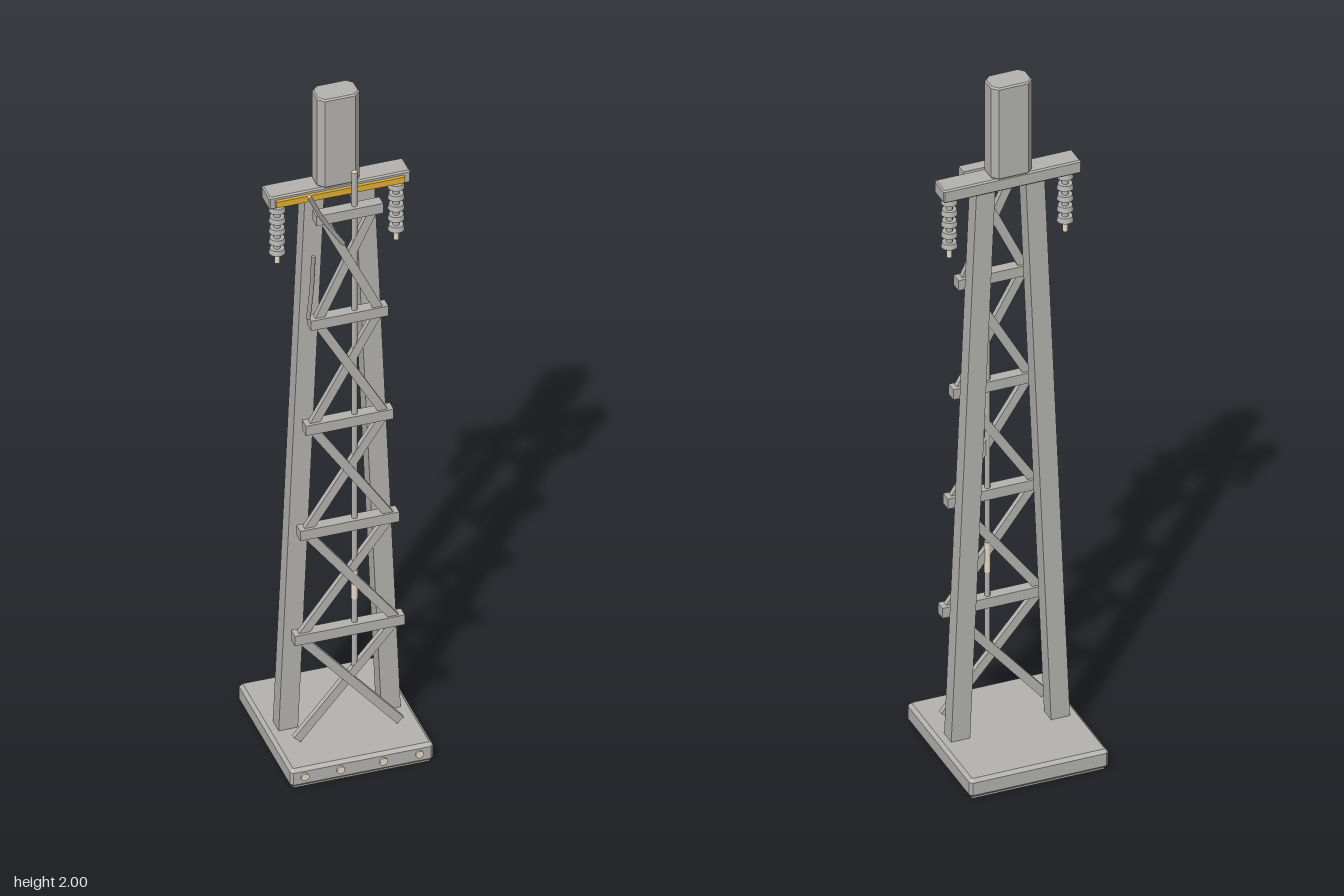
import * as THREE from 'three';

const mat = (name, color) => new THREE.MeshStandardMaterial({ name, color });

export function createModel() {
  const root = new THREE.Group();
  root.name = 'latticeTower';
  const steel = mat('steel grey', 0xb3b2af);
  const cableGrey = mat('cable grey', 0x95928c);
  const yellow = mat('warning yellow', 0xdcae38);
  const beige = mat('pale beige', 0xe8dac6);

  const add = (name, geo, material, x = 0, y = 0, z = 0, parent = root) => {
    const m = new THREE.Mesh(geo, material);
    m.name = name;
    m.position.set(x, y, z);
    parent.add(m);
    return m;
  };

  // Upright block with cut corners (plan chamfer c) and bevelled rims b
  const block = (w, h, d, c, b) => {
    const x = w / 2 - b, z = d / 2 - b;
    const s = new THREE.Shape([
      [-x + c, -z], [x - c, -z], [x, -z + c], [x, z - c],
      [x - c, z], [-x + c, z], [-x, z - c], [-x, -z + c],
    ].map(p => new THREE.Vector2(...p)));
    return new THREE.ExtrudeGeometry(s, {
      depth: h - 2 * b, bevelEnabled: true, bevelSize: b, bevelThickness: b, bevelSegments: 1,
    }).translate(0, 0, -h / 2 + b).rotateX(-Math.PI / 2);
  };

  // Bar running between two points in the front plane
  const bar = (name, a, b, width, depth, z) => {
    const dx = b[0] - a[0], dy = b[1] - a[1];
    const m = add(name, new THREE.BoxGeometry(width, Math.hypot(dx, dy), depth), steel,
      (a[0] + b[0]) / 2, (a[1] + b[1]) / 2, z);
    m.rotation.z = -Math.atan2(dx, dy);
  };

  // Foot slab with a row of bolts on the front
  add('baseSlab', block(0.384, 0.055, 0.414, 0.002, 0.009), steel, 0, 0.0325, -0.007);
  for (const x of [-0.155, -0.059, 0.056, 0.153]) {
    add('baseBolt', new THREE.CylinderGeometry(0.011, 0.011, 0.008, 10).rotateX(Math.PI / 2),
      beige, x, 0.035, 0.201);
  }
  add('baseUnderside', new THREE.BoxGeometry(0.366, 0.006, 0.396), steel, 0, 0.003, -0.007);

  // Two leaning legs, sheared so that their ends stay level
  for (const s of [-1, 1]) {
    const leg = new THREE.BoxGeometry(0.052, 1.635, 0.046);
    const p = leg.attributes.position;
    for (let i = 0; i < p.count; i++) {
      p.setX(i, p.getX(i) + s * (p.getY(i) > 0 ? 0.068 : 0.138));
    }
    leg.computeVertexNormals();
    add('leg', leg, steel, 0, 0.8775, -0.001);
  }

  // Lattice in front of the legs: rungs and crossed braces
  const levels = [0.065, 0.388, 0.712, 1.036, 1.36, 1.683];
  const rungHalf = [0.162, 0.148, 0.133, 0.118, 0.104, 0.09];
  for (let i = 0; i < 5; i++) {
    add('rung', new THREE.BoxGeometry(rungHalf[i + 1] * 2, 0.03, 0.031), steel,
      0, levels[i + 1], 0.086);
    for (const s of [-1, 1]) {
      bar('diagonalBrace', [s * (rungHalf[i] - 0.024), levels[i] + 0.008],
        [-s * (rungHalf[i + 1] - 0.024), levels[i + 1] - 0.008], 0.024, 0.015, 0.087 + s * 0.0015);
    }
  }

  // Slim centre rod with a pale end and a pale sleeve
  add('centreRod', new THREE.CylinderGeometry(0.0075, 0.0075, 1.56, 10), steel, 0.018, 1.02, 0.085);
  add('rodEnd', new THREE.CylinderGeometry(0.0075, 0.0075, 0.002, 10), beige, 0.018, 1.801, 0.085);
  add('rodSleeve', new THREE.CylinderGeometry(0.009, 0.009, 0.09, 10), beige, 0.018, 0.52, 0.085);

  // Crossarm, yellow strip and head column
  add('crossarm', block(0.38, 0.038, 0.062, 0.001, 0.004), steel, 0, 1.707, -0.007);
  add('yellowStrip', new THREE.BoxGeometry(0.346, 0.018, 0.0095), yellow, -0.001, 1.707, 0.0288);
  add('headColumn', block(0.114, 0.274, 0.072, 0.014, 0.004), steel, -0.001, 1.863, -0.007);

  // Hanging insulator stacks below both arm ends
  for (const s of [-1, 1]) {
    const stack = new THREE.Group();
    stack.name = 'insulator';
    stack.position.set(s * 0.16, 0, -0.002);
    root.add(stack);
    add('insulatorCore', new THREE.CylinderGeometry(0.009, 0.009, 0.155, 10), steel, 0, 1.615, 0, stack);
    for (let i = 0; i < 5; i++) {
      add('insulatorDisc', new THREE.CylinderGeometry(0.019, 0.022, 0.014, 14), steel,
        0, 1.672 - i * 0.0325, 0, stack);
    }
    add('insulatorTip', new THREE.CylinderGeometry(0.007, 0.007, 0.022, 10), beige, 0, 1.514, 0, stack);
  }

  // Two loose curved cables with pale cut ends
  const cables = [
    [[-0.125, 1.8, 0.149], [-0.093, 1.73, 0.157], [-0.042, 1.652, 0.176]],
    [[-0.12, 1.625, 0.166], [-0.13, 1.54, 0.182], [-0.148, 1.463, 0.207]],
  ];
  for (const pts of cables) {
    const curve = new THREE.CatmullRomCurve3(pts.map(p => new THREE.Vector3(...p)));
    add('cable', new THREE.TubeGeometry(curve, 12, 0.006, 8), cableGrey);
    for (const t of [0, 1]) {
      const dir = curve.getTangent(t).multiplyScalar(t ? 1 : -1);
      const cap = add('cableEnd', new THREE.CircleGeometry(0.006, 8), beige, ...curve.getPoint(t).toArray());
      cap.quaternion.setFromUnitVectors(new THREE.Vector3(0, 0, 1), dir);
    }
  }
  return root;
}
